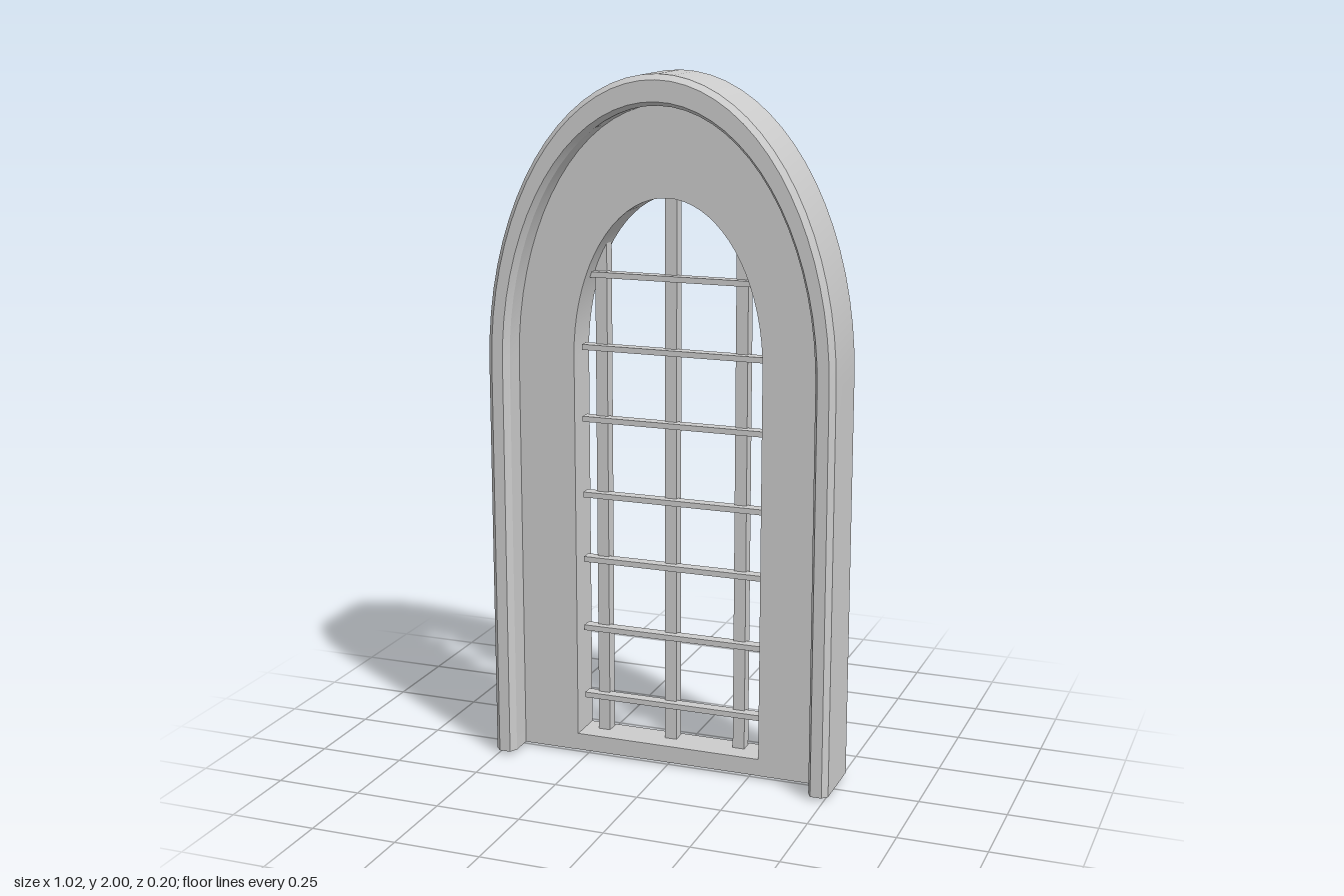
import * as THREE from 'three';
import { toCreasedNormals } from 'three/addons/utils/BufferGeometryUtils.js';

const BASE = 0.01; // underside of the frame
const material = new THREE.MeshStandardMaterial({ color: 0xcccccc });

// Frame cross-section, from the outer back edge round to the opening:
// half width, crown height, z
const PROFILE = [
  [0.51, 2.0, -0.1],
  [0.51, 2.0, 0.082],
  [0.495, 1.985, 0.098],
  [0.462, 1.927, 0.098],
  [0.45, 1.915, 0.075],
  [0.45, 1.915, 0.01],
  [0.28, 1.66, 0.01],
  [0.28, 1.66, -0.1],
];

// Points up one jamb, over a half ellipse and down the other jamb
function archPoints([halfWidth, crown, z], segments = 36) {
  const spring = halfWidth < 0.4 ? 1.2 : 1.18;
  const points = [new THREE.Vector3(halfWidth, BASE, z)];
  for (let i = 0; i <= segments; i++) {
    const t = (Math.PI * i) / segments;
    points.push(new THREE.Vector3(halfWidth * Math.cos(t), spring + (crown - spring) * Math.sin(t), z));
  }
  points.push(new THREE.Vector3(-halfWidth, BASE, z));
  return points;
}

// Skin the profile along the arch and close both feet
function frameGeometry() {
  const rails = PROFILE.map((p) => archPoints(p));
  const last = rails[0].length - 1;
  const positions = [];
  const triangle = (a, b, c) => positions.push(...a.toArray(), ...b.toArray(), ...c.toArray());

  rails.forEach((rail, k) => {
    const next = rails[(k + 1) % rails.length];
    for (let i = 0; i < last; i++) {
      triangle(rail[i], rail[i + 1], next[i]);
      triangle(next[i], rail[i + 1], next[i + 1]);
    }
  });

  // Feet face downwards
  const outline = PROFILE.map(([x, , z]) => new THREE.Vector2(x, z));
  for (const [a, b, c] of THREE.ShapeUtils.triangulateShape(outline, [])) {
    for (const end of [0, last]) {
      const [p, q, r] = [a, b, c].map((n) => rails[n][end]);
      const normal = q.clone().sub(p).cross(r.clone().sub(p));
      if (normal.y < 0) triangle(p, q, r);
      else triangle(p, r, q);
    }
  }

  const geometry = new THREE.BufferGeometry();
  geometry.setAttribute('position', new THREE.Float32BufferAttribute(positions, 3));
  return toCreasedNormals(geometry, 0.4);
}

// Box given by its lower and upper corners
function box(name, min, max) {
  const size = max.map((v, i) => v - min[i]);
  const mesh = new THREE.Mesh(new THREE.BoxGeometry(...size), material);
  mesh.position.set(...max.map((v, i) => (v + min[i]) / 2));
  mesh.name = name;
  return mesh;
}

export function createModel() {
  const model = new THREE.Group();
  model.name = 'archedWindow';

  const frame = new THREE.Mesh(frameGeometry(), material);
  frame.name = 'archedFrame';
  model.add(frame);

  // Sill between the jambs
  model.add(box('sill', [-0.28, BASE, -0.099], [0.28, 0.06, 0.009]));

  // Upright bars, running through the sill into the arch
  const uprights = new THREE.Group();
  uprights.name = 'uprightBars';
  for (const [x, top] of [[-0.22, 1.56], [-0.01, 1.68], [0.2, 1.58]]) {
    uprights.add(box('uprightBar', [x - 0.0175, 0, -0.088], [x + 0.0175, top, -0.05]));
  }
  model.add(uprights);

  // Thin cross bars in front of the uprights
  const crossBars = new THREE.Group();
  crossBars.name = 'crossBars';
  for (const y of [0.17, 0.38, 0.59, 0.785, 1.01, 1.22, 1.43]) {
    const [left, right] = y > 1.4 ? [-0.245, 0.23] : [-0.272, 0.282];
    crossBars.add(box('crossBar', [left, y - 0.008, -0.062], [right, y + 0.008, -0.028]));
  }
  model.add(crossBars);

  return model;
}
